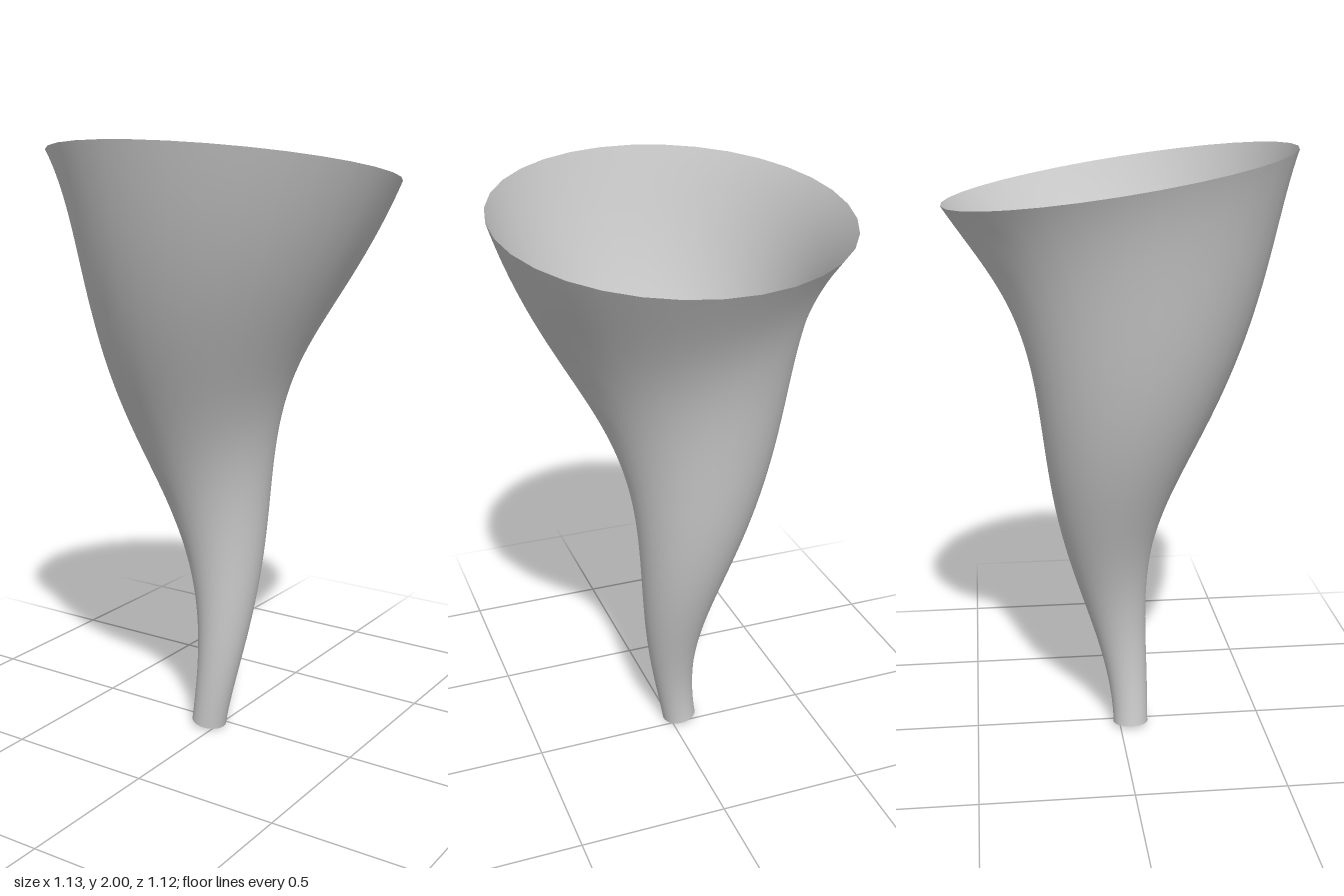
import * as THREE from 'three';

const RADIAL = 32, ROWS = 96, COIL = 0.038, TURNS = 1.25;
const Y0 = 0.01, Y1 = 1.914;

// Centre line: a slim helix climbing one and a quarter turns
class Helix extends THREE.Curve {
  getPoint(t, target = new THREE.Vector3()) {
    const a = t * TURNS * Math.PI * 2;
    return target.set(COIL * (Math.sin(a) - 1), Y0 + (Y1 - Y0) * t, COIL * Math.cos(a));
  }
}

// Radius flares from the narrow spout to the wide mouth
const radiusAt = (t) => 0.06 + 0.507 * Math.pow(t, 1.68);
const flareAt = (t) => 0.507 * 1.68 * Math.pow(t, 0.68);

function hornGeometry() {
  const path = new Helix();
  const length = path.getLength();
  const geo = new THREE.TubeGeometry(path, ROWS, 1, RADIAL, false);
  const { position, normal } = geo.attributes;
  const n = new THREE.Vector3(), p = new THREE.Vector3();
  for (let i = 0; i <= ROWS; i++) {
    const t = i / ROWS;
    const centre = path.getPoint(t), tangent = path.getTangent(t);
    for (let j = 0; j <= RADIAL; j++) {
      const k = i * (RADIAL + 1) + j;
      n.fromBufferAttribute(normal, k);
      p.copy(centre).addScaledVector(n, radiusAt(t));
      position.setXYZ(k, p.x, p.y, p.z);
      // tilt the normal back by the slope of the flare
      n.addScaledVector(tangent, -flareAt(t) / length).normalize();
      normal.setXYZ(k, n.x, n.y, n.z);
    }
  }
  return geo;
}

export function createModel() {
  const group = new THREE.Group();
  group.name = 'twistedHorn';
  // Open-ended thin shell
  const horn = new THREE.Mesh(
    hornGeometry(),
    new THREE.MeshStandardMaterial({ color: 0xcccccc, side: THREE.DoubleSide })
  );
  horn.name = 'hornShell';
  group.add(horn);
  return group;
}
